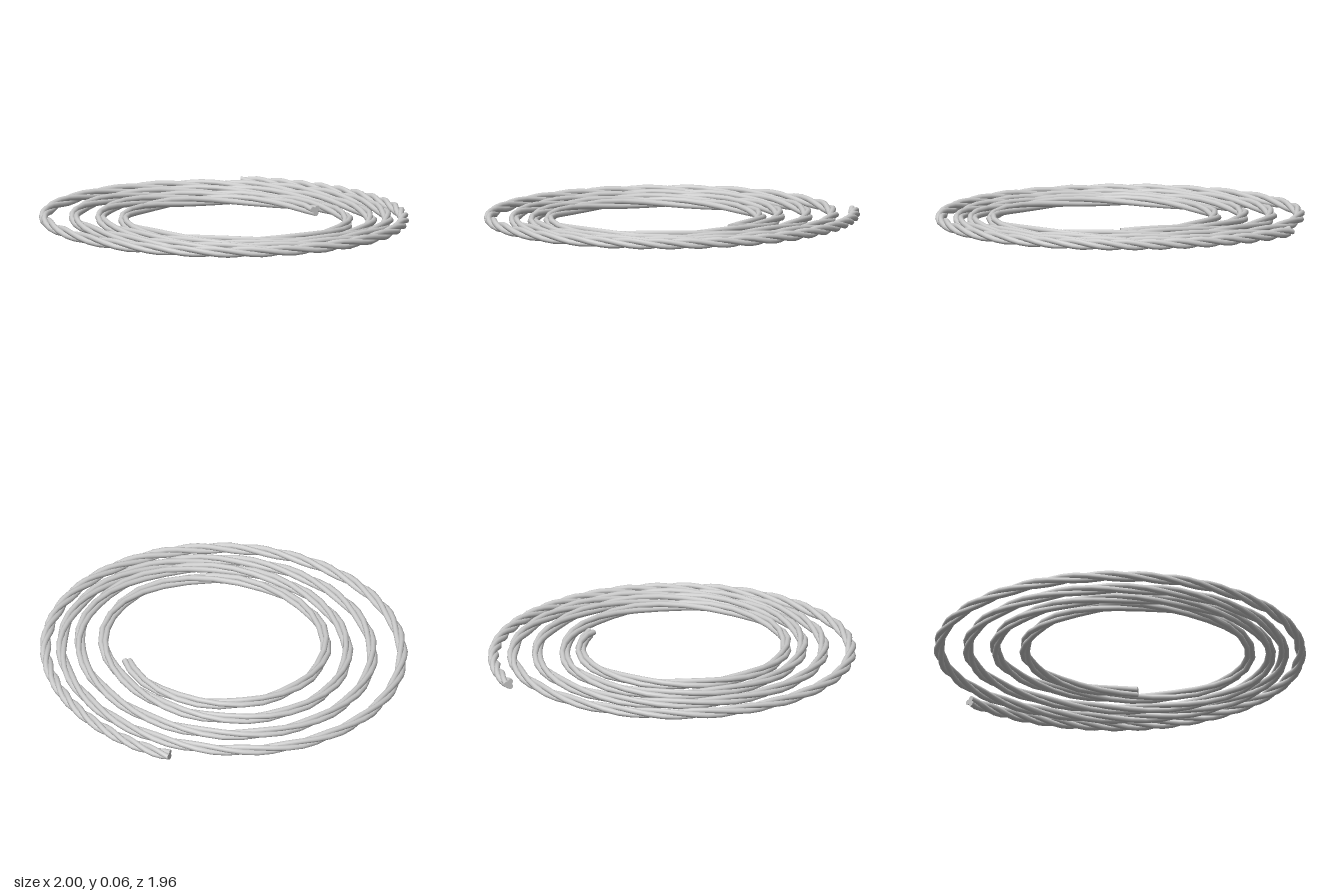
import * as THREE from 'three';

// Coil radius at every quarter turn, from the outer end to the inner end
const RADII = [1.12, 0.95, 0.97, 0.945, 0.97, 0.853, 0.885, 0.795, 0.815, 0.73,
  0.815, 0.675, 0.67, 0.585, 0.705, 0.585, 0.51, 0.505, 0.59];
const profile = new THREE.SplineCurve(RADII.map((r, i) => new THREE.Vector2(i, r)));
const START = -0.686, END = 8 * Math.PI + 0.405;
const STRANDS = 3, SIDES = 10, STRAND_R = 0.0155, OFFSET = 0.0155, HEIGHT = 0.031;
const TWIST = Math.PI * 2 / 9; // twist per step

// Centre line of the coil on the ground plane
function centre(angle) {
  const index = angle / (Math.PI / 2) + 1;
  const r = profile.getPoint(index / (RADII.length - 1)).y;
  return new THREE.Vector3(r * Math.sin(angle), HEIGHT, -r * Math.cos(angle));
}

// Stations along the coil: steps are short outside and long inside
function makeStations() {
  const angles = [];
  let a = START;
  while (a < END - 0.03) {
    angles.push(a);
    a += THREE.MathUtils.lerp(0.042, 0.24, (a - START) / (END - START));
  }
  angles.push(END);
  return angles.map((angle, i) => {
    const tangent = centre(angle + 0.01).sub(centre(angle - 0.01)).normalize();
    const out = new THREE.Vector3(0, 1, 0).cross(tangent).normalize();
    return { point: centre(angle), out, twist: i * TWIST };
  });
}

// One strand: a round section swept along the twisted path, with closed ends
function strandGeometry(stations, phase) {
  const positions = [], indices = [];
  const place = (s, x, y) => positions.push(
    s.point.x + s.out.x * x, s.point.y + y, s.point.z + s.out.z * x);
  const ring = (s) => {
    const a = s.twist + phase;
    for (let j = 0; j < SIDES; j++) {
      const b = a + j / SIDES * Math.PI * 2;
      place(s, OFFSET * Math.cos(a) + STRAND_R * Math.cos(b),
        OFFSET * Math.sin(a) + STRAND_R * Math.sin(b));
    }
  };
  stations.forEach(ring);
  for (let i = 0; i < stations.length - 1; i++) {
    for (let j = 0; j < SIDES; j++) {
      const k = (j + 1) % SIDES;
      const a = i * SIDES + j, b = i * SIDES + k;
      indices.push(a, b, a + SIDES, b, b + SIDES, a + SIDES);
    }
  }
  // End caps on their own vertices, so the rims stay sharp
  [stations[0], stations[stations.length - 1]].forEach((s, end) => {
    const base = positions.length / 3;
    ring(s);
    for (let j = 1; j < SIDES - 1; j++) {
      if (end) indices.push(base, base + j, base + j + 1);
      else indices.push(base, base + j + 1, base + j);
    }
  });
  const geometry = new THREE.BufferGeometry();
  geometry.setAttribute('position', new THREE.Float32BufferAttribute(positions, 3));
  geometry.setIndex(indices);
  geometry.computeVertexNormals();
  return geometry;
}

export function createModel() {
  const group = new THREE.Group();
  group.name = 'coiledRope';
  const material = new THREE.MeshStandardMaterial({ color: 0xcccccc });
  const stations = makeStations();
  for (let i = 0; i < STRANDS; i++) {
    const strand = new THREE.Mesh(strandGeometry(stations, i / STRANDS * Math.PI * 2), material);
    strand.name = `ropeStrand${i + 1}`;
    group.add(strand);
  }
  return group;
}
